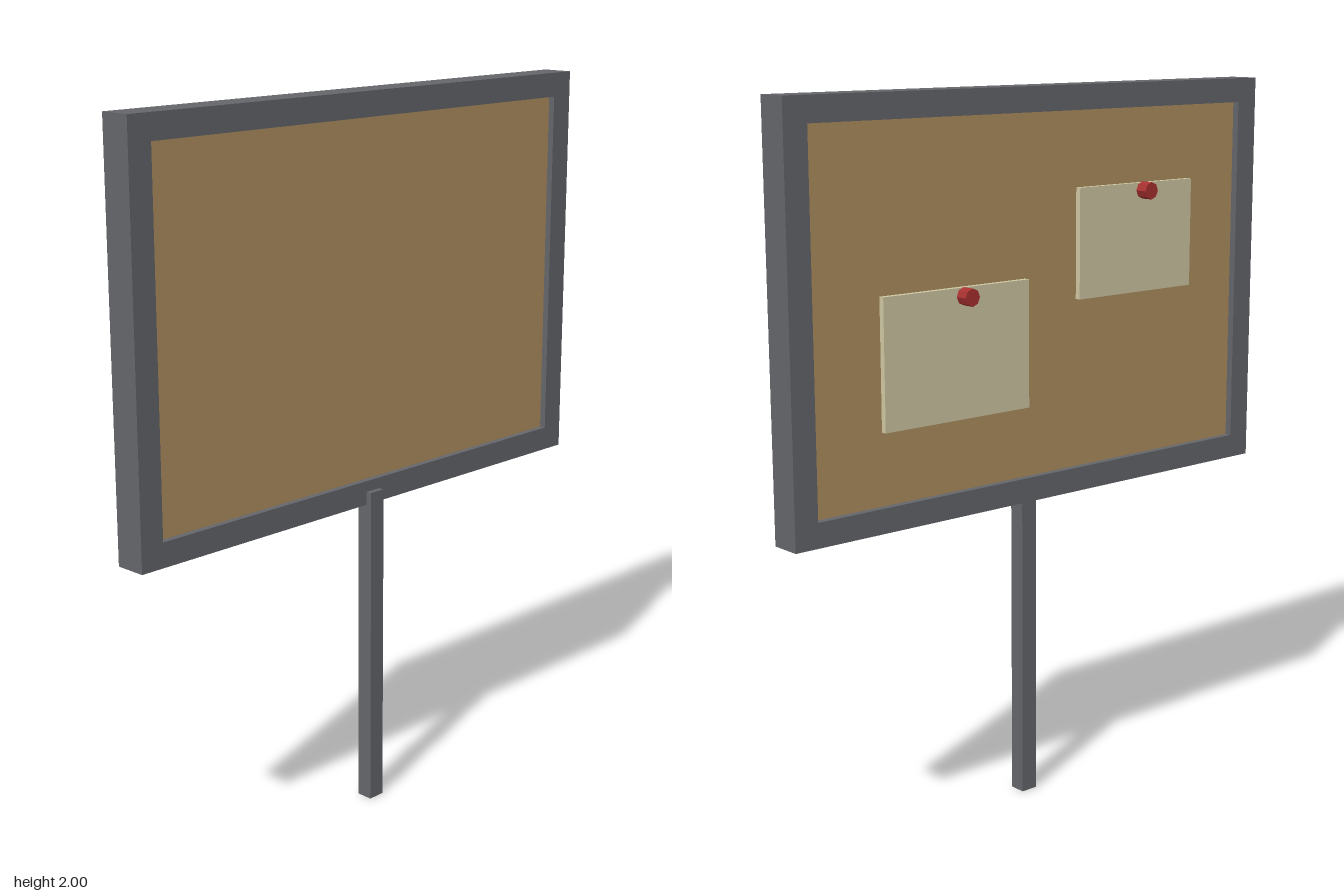
import * as THREE from 'three';

const material = (color) => new THREE.MeshStandardMaterial({ color, flatShading: true });

export function createModel() {
  const group = new THREE.Group();
  const metal = material(0x64666a);
  const cork = material(0xb08f60);
  const paper = material(0xcfc8a3);
  const red = material(0xa83030);

  const add = (name, geometry, mat, x, y, z) => {
    const mesh = new THREE.Mesh(geometry, mat);
    mesh.name = name;
    mesh.position.set(x, y, z);
    group.add(mesh);
    return mesh;
  };
  const box = (name, mat, w, h, z0, z1, x, y) =>
    add(name, new THREE.BoxGeometry(w, h, z1 - z0), mat, x, y, (z0 + z1) / 2);

  // Frame: one rectangle with a rectangular opening
  const rect = (Type, w, h) => {
    const path = new Type();
    path.moveTo(-w / 2, -h / 2);
    path.lineTo(w / 2, -h / 2);
    path.lineTo(w / 2, h / 2);
    path.lineTo(-w / 2, h / 2);
    path.closePath();
    return path;
  };
  const outline = rect(THREE.Shape, 1.64, 1.12);
  outline.holes.push(rect(THREE.Path, 1.5, 0.985));
  add('frame', new THREE.ExtrudeGeometry(outline, { depth: 0.09, bevelEnabled: false }),
    metal, 0, 1.44, -0.03);

  // Cork panel, recessed on both faces
  box('corkPanel', cork, 1.5, 0.985, -0.01, 0.042, 0, 1.44);

  // Support post, set against the front of the lower rail
  box('post', metal, 0.05, 0.917, 0.03, 0.077, 0, 0.4585);

  // Notes on the back, each with an eight-sided pin
  const notes = [
    { x: 0.29, y: 1.318, w: 0.485, h: 0.35, pinX: 0.284, pinY: 1.473 },
    { x: -0.35, y: 1.572, w: 0.428, h: 0.305, pinX: -0.357, pinY: 1.706 },
  ];
  for (const n of notes) {
    box('note', paper, n.w, n.h, -0.026, -0.009, n.x, n.y);
    const pin = add('pin', new THREE.CylinderGeometry(0.024, 0.024, 0.036, 8), red, n.pinX, n.pinY, -0.059);
    pin.rotation.x = Math.PI / 2;
  }
  return group;
}
